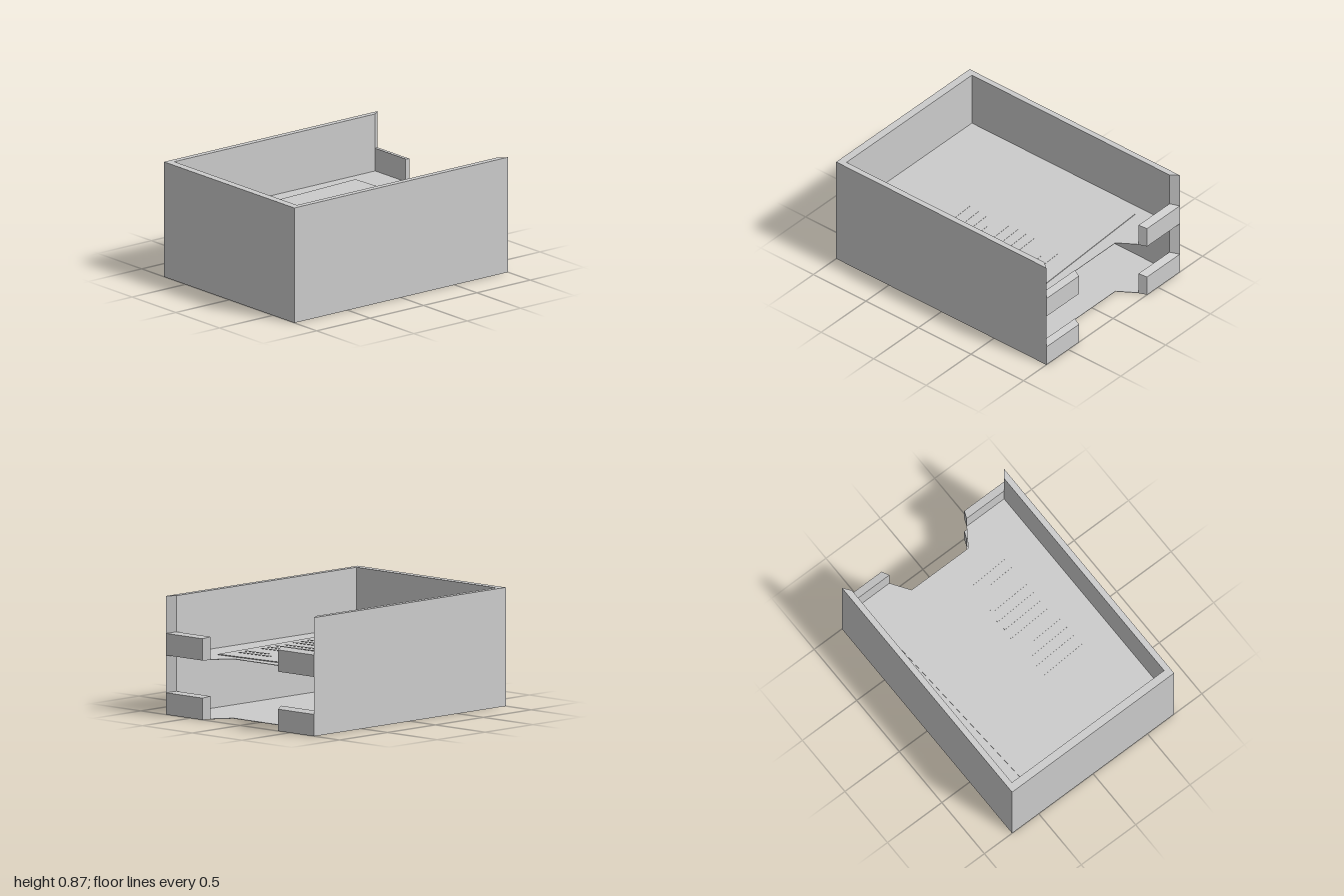
import * as THREE from 'three';

const material = new THREE.MeshStandardMaterial({ color: 0xcccccc, flatShading: true, side: THREE.DoubleSide });
const TIER = 0.435;
const FLOOR = 0.004;

function add(parent, name, geometry, x = 0, y = 0, z = 0) {
  const mesh = new THREE.Mesh(geometry, material);
  mesh.name = name;
  mesh.position.set(x, y, z);
  parent.add(mesh);
  return mesh;
}

const toVectors = (points) => points.map(([x, z]) => new THREE.Vector2(x, -z));

// Extrudes an outline of [x, z] points upwards from y = 0
function prism(points, height, hole) {
  const shape = new THREE.Shape(toVectors(points));
  if (hole) shape.holes.push(new THREE.Path(toVectors(hole)));
  return new THREE.ExtrudeGeometry(shape, { depth: height, bevelEnabled: false }).rotateX(-Math.PI / 2);
}

// Mirrors the outline of the +z half into a closed outline
const mirrored = (half) => [...half, ...half.map(([x, z]) => [x, -z]).reverse()];

// Corner lip at the open end: slanted inner end, top rising inwards
function lipGeometry(side) {
  const g = prism([[1, 0.745], [1, 0.38], [0.94, 0.355], [0.94, 0.70]].map(([x, z]) => [x, z * side]), 0.16);
  const p = g.attributes.position;
  for (let i = 0; i < p.count; i++) {
    if (p.getX(i) < 0.97 && p.getY(i) > 0.1) p.setY(i, side > 0 ? 0.17 : 0.176);
  }
  g.computeVertexNormals();
  return g;
}

function tray(name, y, slotted) {
  const group = new THREE.Group();
  group.name = name;
  group.position.y = y;

  // Three walls with mitred ends at the open side; the lower end wall is hollow
  const cavity = mirrored([[-0.998, 0.375], [-0.942, 0.375]]);
  add(group, 'walls', prism([
    [1, 0.745], [-1, 0.745], [-1, -0.745], [1, -0.745],
    [0.94, -0.70], [-0.94, -0.70], [-0.94, 0.70], [0.94, 0.70],
  ], TIER, slotted && cavity));

  // Floor with a tapered finger notch, and a slot below the hollow wall
  const half = [[-1, 0.745], [1, 0.745], [1, 0.38], [0.94, 0.355], [0.8, 0.26]];
  if (slotted) half.unshift([-0.942, 0.375], [-1, 0.375]);
  const floor = slotted
    ? [...half, ...half.map(([x, z]) => [x, -z]).reverse()]
    : mirrored(half);
  add(group, 'floor', prism(floor, FLOOR));

  for (const side of [1, -1]) add(group, side > 0 ? 'frontLip' : 'backLip', lipGeometry(side));
  return group;
}

// Sheet of paper lying slightly askew, with ruled bars across it
function paper() {
  const group = new THREE.Group();
  group.name = 'paper';
  group.position.set(-0.095, TIER + FLOOR, -0.0275);
  group.rotation.y = 0.055;
  add(group, 'sheet', new THREE.BoxGeometry(1.622, 0.006, 1.087), 0, 0.003);

  // [position along the sheet, start, end]
  const bars = [
    [0.65, 0.18, 0.48], [0.57, 0.27, 0.48],
    [0.40, 0.14, 0.48], [0.32, 0.12, 0.48], [0.24, 0.12, 0.48], [0.16, 0.11, 0.46],
    [0.04, 0.22, 0.48], [-0.04, 0.12, 0.48], [-0.12, 0.11, 0.48], [-0.21, 0.10, 0.48],
  ];
  for (const [x, start, end] of bars) {
    add(group, 'ruledBar', new THREE.BoxGeometry(0.025, 0.002, end - start), x, 0.007, (start + end) / 2);
  }
  return group;
}

export function createModel() {
  const model = new THREE.Group();
  model.name = 'paperTray';
  model.add(tray('lowerTray', 0, true), tray('upperTray', TIER, false), paper());
  return model;
}
